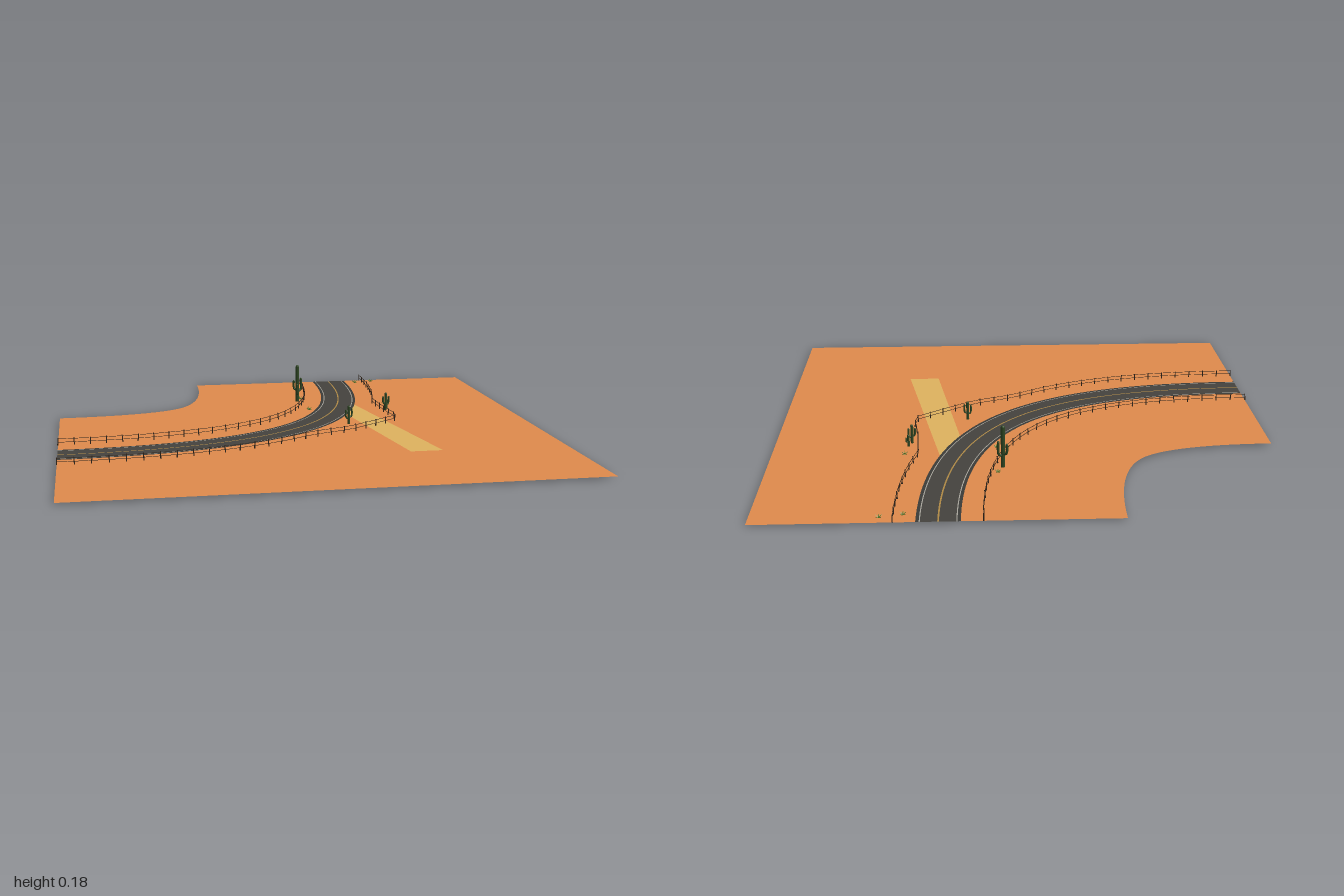
import * as THREE from 'three';

const mat = (color, flatShading = false) =>
  new THREE.MeshStandardMaterial({ color, side: THREE.DoubleSide, flatShading });
const SAND = mat(0xe08b4c), TRACK = mat(0xdfb25f), ASPHALT = mat(0x45433e), SHOULDER = mat(0x3b3b38),
  WHITE = mat(0xa8a59c), YELLOW = mat(0xb08a45), WOOD = mat(0x33261b), CACTUS = mat(0x2f4723), LEAF = mat(0x6f8a35, true);

// Road centre line in plan, as (x, z); every edge is an offset of it
const N = 80, L = 1.33, K = 0.69;
const centre = new THREE.CubicBezierCurve(
  new THREE.Vector2(0.33, -1), new THREE.Vector2(0.33, -1 + L * K),
  new THREE.Vector2(-1 + L * K, 0.33), new THREE.Vector2(-1, 0.33));

function offsetLine(d) {
  return Array.from({ length: N + 1 }, (_, i) => {
    const p = centre.getPoint(i / N), t = centre.getTangent(i / N);
    return new THREE.Vector2(p.x + t.y * d, p.y - t.x * d);
  });
}

function add(parent, name, geometry, material) {
  const mesh = new THREE.Mesh(geometry, material);
  mesh.name = name;
  parent.add(mesh);
  return mesh;
}

// Flat sheet from a plan outline, facing up
function sheet(points) {
  const shape = new THREE.Shape(points.map(p => new THREE.Vector2(p.x, -p.y)));
  return new THREE.ShapeGeometry(shape).rotateX(-Math.PI / 2);
}

const band = (a, b) => sheet([...offsetLine(a), ...offsetLine(b).reverse()]);
const v2 = (x, z) => new THREE.Vector2(x, z);

// Posts along a plan path, joined by two thin wires
function fence(name, points) {
  const group = new THREE.Group();
  group.name = name;
  const path = new THREE.CurvePath();
  for (let i = 1; i < points.length; i++) path.add(new THREE.LineCurve(points[i - 1], points[i]));
  const posts = path.getSpacedPoints(Math.round(path.getLength() / 0.065));
  const postGeo = new THREE.CylinderGeometry(0.002, 0.0025, 0.03, 6);
  posts.forEach((p, i) => {
    const post = add(group, 'fencePost', postGeo, WOOD);
    post.position.set(p.x, 0.015, p.y);
    post.rotation.set(0.08 * Math.sin(i * 2.3), 0, 0.08 * Math.sin(i * 3.7));
    if (!i) return;
    const q = posts[i - 1];
    for (const y of [0.012, 0.026]) {
      const wire = add(group, 'fenceWire', new THREE.BoxGeometry(0.0015, 0.0015, p.distanceTo(q)), WOOD);
      wire.position.set((p.x + q.x) / 2, y, (p.y + q.y) / 2);
      wire.rotation.y = Math.atan2(p.x - q.x, p.y - q.y);
    }
  });
  return group;
}

// Trunk with upturned arms; arms are [angle, start height, reach, rise]
function cactus(x, z, height, radius, arms) {
  const group = new THREE.Group();
  group.name = 'cactus';
  group.position.set(x, 0, z);
  add(group, 'cactusTrunk', new THREE.CapsuleGeometry(radius, height - radius, 4, 10), CACTUS)
    .position.y = (height - radius) / 2;
  for (const [angle, y, reach, rise] of arms) {
    const arm = new THREE.Group(), r = radius * 0.65;
    const elbow = new THREE.CatmullRomCurve3([
      new THREE.Vector3(0, y, 0), new THREE.Vector3(reach * 0.75, y + 0.002, 0),
      new THREE.Vector3(reach, y + rise * 0.3, 0), new THREE.Vector3(reach, y + rise, 0)]);
    add(arm, 'cactusArm', new THREE.TubeGeometry(elbow, 12, r, 8), CACTUS);
    add(arm, 'cactusArmTip', new THREE.SphereGeometry(r, 8, 6), CACTUS).position.set(reach, y + rise, 0);
    arm.rotation.y = angle;
    group.add(arm);
  }
  return group;
}

// Rosette of pointed leaves
function shrub(x, z, size) {
  const group = new THREE.Group();
  group.name = 'shrub';
  group.position.set(x, 0, z);
  for (let i = 0; i < 8; i++) {
    const geo = new THREE.ConeGeometry(size * 0.16, size, 4).translate(0, size / 2, 0);
    const leaf = add(group, 'shrubLeaf', geo, LEAF);
    leaf.rotation.set(0, i * Math.PI / 4, i % 2 ? 1.2 : 0.75, 'YXZ');
  }
  return group;
}

export function createModel() {
  const model = new THREE.Group();
  model.name = 'desertRoadCorner';

  // Ground on both sides of the road, with a notch for the dirt track
  const edge = offsetLine(0.08);
  const a = edge.findIndex(p => p.y > -0.43), b = edge.findIndex(p => p.y > -0.22);
  const trackEnd = [v2(0.49, 0.51), v2(0.36, 0.51)];
  add(model, 'innerGround', band(-0.667, -0.08), SAND);
  add(model, 'outerGround', sheet([
    ...edge.slice(0, a + 1), ...trackEnd, ...edge.slice(b), v2(-1, 1), v2(1, 1), v2(1, -1)]), SAND);
  add(model, 'dirtTrack', sheet([...edge.slice(a, b + 1).reverse(), ...trackEnd]), TRACK);

  // Road surface as bands side by side
  const road = new THREE.Group();
  road.name = 'road';
  const half = [[0.003, 0.064, 'lane', ASPHALT], [0.064, 0.068, 'edgeLine', WHITE], [0.068, 0.08, 'shoulder', SHOULDER]];
  for (const [from, to, name, material] of half) {
    add(road, name, band(from, to), material);
    add(road, name, band(-to, -from), material);
  }
  add(road, 'centreLine', band(-0.003, 0.003), YELLOW);
  model.add(road);

  // Fences; the outer one swings out around the track
  const outer = offsetLine(0.16);
  model.add(fence('innerFence', offsetLine(-0.16)));
  model.add(fence('outerFence', [
    ...outer.filter(p => p.y < -0.4), v2(0.43, -0.2), v2(0.45, -0.05), v2(0.36, 0.02), v2(0.2, 0.14),
    ...outer.filter(p => p.x < 0.02)]));

  // Plants
  model.add(cactus(0.09, -0.53, 0.172, 0.008, [[0.3, 0.05, 0.019, 0.055], [2.6, 0.055, 0.018, 0.04], [4.5, 0.035, 0.017, 0.045]]));
  model.add(cactus(0.225, -0.015, 0.08, 0.006, [[0.2, 0.03, 0.014, 0.035], [3.4, 0.025, 0.014, 0.035]]));
  model.add(cactus(0.45, -0.27, 0.08, 0.006, [[0.1, 0.025, 0.014, 0.035], [3.2, 0.03, 0.012, 0.03]]));
  model.add(cactus(0.463, -0.305, 0.05, 0.005, [[0.4, 0.018, 0.01, 0.018]]));
  for (const [x, z] of [[0.11, -0.58], [0.11, -0.33], [0.475, -0.39], [0.455, -0.94], [0.54, -0.96]])
    model.add(shrub(x, z, 0.018));

  return model;
}
